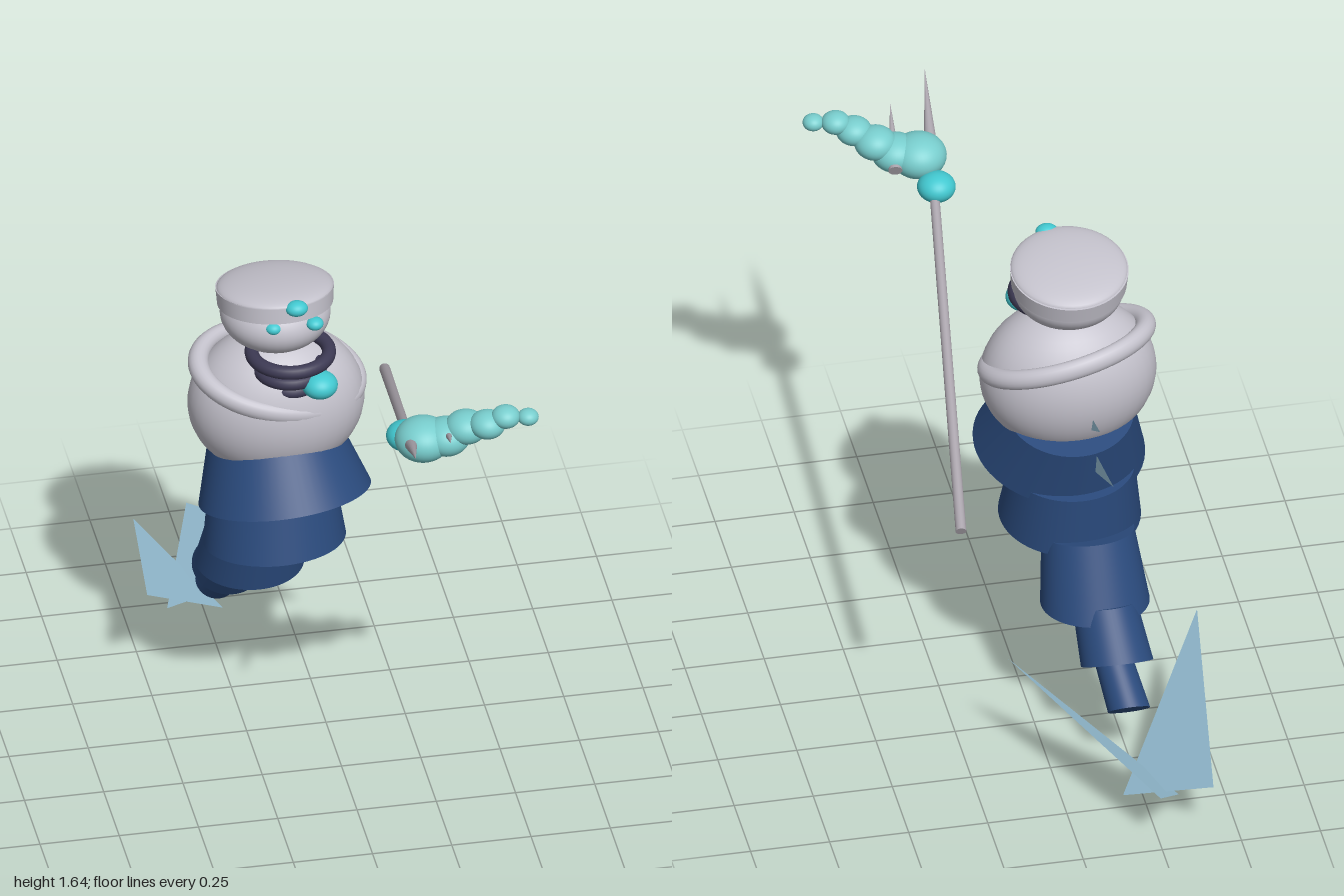
import * as THREE from 'three';

const mat = (name, color, side = THREE.FrontSide) => {
  const m = new THREE.MeshStandardMaterial({ color, side });
  m.name = name;
  return m;
};

export function createModel() {
  const group = new THREE.Group();
  const shell = mat('pale grey', 0xc4c2cc);
  const metal = mat('staff grey', 0xa9a3ab);
  const dark = mat('dark violet', 0x3d3a54);
  const navy = mat('navy', 0x2a4a7c);
  const ice = mat('ice blue', 0x9cc6dc, THREE.DoubleSide);
  const teal = mat('bright teal', 0x42c8d0);
  const aqua = mat('soft aqua', 0x78cdcd);

  const add = (name, geo, material, pos = [0, 0, 0], rot = [0, 0, 0], scale = [1, 1, 1]) => {
    const m = new THREE.Mesh(geo, material);
    m.name = name;
    m.position.set(...pos);
    m.rotation.set(...rot);
    m.scale.set(...scale);
    group.add(m);
    return m;
  };
  const ball = (name, material, pos, radii) =>
    add(name, new THREE.SphereGeometry(1, 40, 28), material, pos, [0, 0, 0], radii);

  // tapered rod from a to b
  const rod = (name, material, a, b, ra, rb) => {
    const p = new THREE.Vector3(...a), q = new THREE.Vector3(...b);
    const d = q.clone().sub(p);
    const m = add(name, new THREE.CylinderGeometry(rb, ra, d.length(), 16), material);
    m.position.copy(p).lerp(q, 0.5);
    m.quaternion.setFromUnitVectors(new THREE.Vector3(0, 1, 0), d.normalize());
  };

  // skirt between two slanted rings; ring = centre c, radii rx rz, slopes of y over x and z
  const skirt = (name, top, bottom) => {
    const g = new THREE.CylinderGeometry(1, 1, 1, 56, 1).rotateY(Math.PI);
    const p = g.attributes.position;
    for (let i = 0; i < p.count; i++) {
      const r = p.getY(i) > 0 ? top : bottom;
      const x = p.getX(i) * r.rx, z = p.getZ(i) * r.rz;
      p.setXYZ(i, r.c[0] + x, r.c[1] + x * r.sx + z * r.sz, r.c[2] + z);
    }
    g.computeVertexNormals();
    add(name, g, navy);
  };
  const ring = (c, rx, rz, sz, sx = 0) => ({ c, rx, rz, sz, sx });

  // flat triangular fin
  const fin = (name, ...corners) => {
    const g = new THREE.BufferGeometry();
    g.setAttribute('position', new THREE.Float32BufferAttribute(corners.flat(), 3));
    g.computeVertexNormals();
    add(name, g, ice);
  };

  // torso and slanted collar band
  ball('torso', shell, [-0.145, 1.19, -0.065], [0.277, 0.25, 0.205]);
  add('collarBand', new THREE.TorusGeometry(0.25, 0.032, 20, 72).rotateX(Math.PI / 2), shell,
    [-0.14, 1.285, -0.07], [0.24, 0, -0.21], [1.02, 1, 0.76]);

  // head and cap
  ball('head', shell, [-0.147, 1.51, -0.068], [0.172, 0.112, 0.172]);
  const capTilt = [-0.17, 0, 0];
  add('capBand', new THREE.CylinderGeometry(0.184, 0.18, 0.055, 56), shell, [-0.145, 1.565, -0.083], capTilt);
  add('capDome', new THREE.SphereGeometry(0.182, 48, 12, 0, Math.PI * 2, 0, Math.PI / 2), shell,
    [-0.145, 1.59, -0.083], capTilt, [1, 0.2, 1]);

  // face details
  ball('capGem', teal, [-0.11, 1.615, 0.09], [0.035, 0.024, 0.03]);
  for (const [name, x] of [['rightEye', -0.18], ['leftEye', -0.05]]) {
    ball(name, teal, [x, 1.542, 0.075], [0.027, 0.02, 0.027]);
  }

  // stack of shrinking neck rings
  [
    [-0.12, 1.423, 0.038, 0.12],
    [-0.123, 1.368, 0.042, 0.095],
    [-0.117, 1.313, 0.032, 0.07],
    [-0.11, 1.262, 0.055, 0.035],
  ].forEach(([x, y, z, r], i) =>
    add('neckRing' + (i + 1), new THREE.TorusGeometry(r, 0.022 - i * 0.001, 16, 48).rotateX(Math.PI / 2), dark, [x, y, z]));
  ball('chestOrb', teal, [-0.045, 1.35, 0.13], [0.056, 0.042, 0.056]);

  // overlapping tail skirts, curving backwards
  skirt('tailSkirt1', ring([-0.145, 1.07, -0.095], 0.2, 0.195, 0.26), ring([-0.13, 0.875, 0], 0.268, 0.248, 0.28, 0.09));
  skirt('tailSkirt2', ring([-0.15, 0.865, -0.105], 0.195, 0.182, 0.1), ring([-0.148, 0.665, -0.075], 0.222, 0.21, 0.14, 0.03));
  skirt('tailSkirt3', ring([-0.18, 0.675, -0.2], 0.145, 0.125, -0.2), ring([-0.187, 0.46, -0.275], 0.17, 0.165, -0.06));
  skirt('tailSkirt4', ring([-0.205, 0.485, -0.33], 0.1, 0.093, -0.4), ring([-0.222, 0.333, -0.445], 0.113, 0.09, -0.62));
  skirt('tailSkirt5', ring([-0.215, 0.33, -0.435], 0.06, 0.05, -0.7), ring([-0.24, 0.218, -0.54], 0.066, 0.048, -0.9));

  // crossing tail fins
  fin('leftTailFin', [0.115, 0.37, -0.405], [-0.245, 0.2, -1], [-0.36, 0.005, -0.72]);
  fin('rightTailFin', [-0.512, 0.37, -0.265], [-0.42, 0.19, -0.96], [-0.19, 0.005, -0.69]);

  // small back fins
  fin('upperBackFin', [-0.18, 1.13, -0.22], [-0.19, 1.14, -0.34], [-0.18, 1.08, -0.24]);
  fin('lowerBackFin', [-0.19, 1.01, -0.27], [-0.21, 1.005, -0.45], [-0.19, 0.94, -0.27]);

  // staff with spear point and side prong
  rod('staff', metal, [0.285, 0.95, -0.51], [0.12, 1.514, 0.75], 0.017, 0.015);
  rod('spearPoint', metal, [0.12, 1.514, 0.75], [0.087, 1.625, 1], 0.021, 0.0005);
  rod('sideProng', metal, [0.25, 1.5, 0.66], [0.22, 1.592, 0.885], 0.022, 0.0005);
  ball('staffOrb', teal, [0.13, 1.455, 0.615], [0.06, 0.046, 0.06]);

  // curling horn of beads
  [
    [0.165, 1.507, 0.72, 0.088],
    [0.235, 1.517, 0.735, 0.075],
    [0.295, 1.553, 0.748, 0.066],
    [0.355, 1.58, 0.787, 0.056],
    [0.41, 1.61, 0.8, 0.045],
    [0.478, 1.61, 0.815, 0.033],
  ].forEach(([x, y, z, r], i) => ball('hornBead' + (i + 1), aqua, [x, y, z], [r, r * 0.78, r]));

  return group;
}
